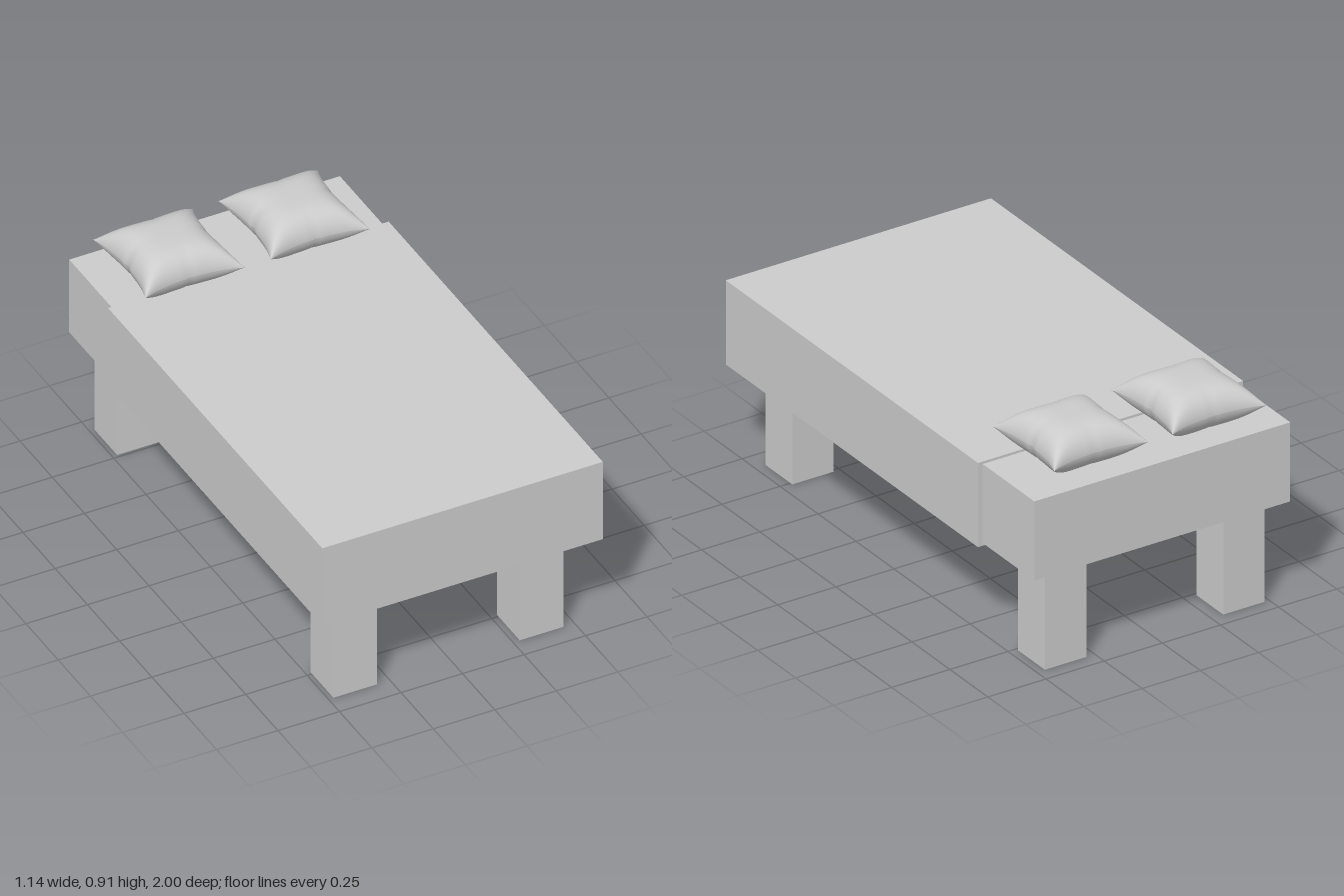
import * as THREE from 'three';
import { mergeGeometries } from 'three/addons/utils/BufferGeometryUtils.js';

const lightGrey = new THREE.MeshStandardMaterial({ color: 0xcccccc });
lightGrey.name = 'light grey';

// Box given by its lower and upper corners
function box(name, [x0, y0, z0], [x1, y1, z1]) {
  const mesh = new THREE.Mesh(new THREE.BoxGeometry(x1 - x0, y1 - y0, z1 - z0), lightGrey);
  mesh.position.set((x0 + x1) / 2, (y0 + y1) / 2, (z0 + z1) / 2);
  mesh.name = name;
  return mesh;
}

// One puffed half of a pillow: side +1 is the top, -1 the bottom
function pillowHalf(side) {
  const g = new THREE.PlaneGeometry(2, 2, 32, 32);
  g.rotateX(-side * Math.PI / 2);
  const p = g.attributes.position;
  const ease = (t) => Math.sin(t * Math.PI / 2);
  for (let i = 0; i < p.count; i++) {
    const u = ease(p.getX(i)), v = ease(p.getZ(i));
    // edges bow inwards between the pointed corners, with a small pinch in the middle
    const pinch = (t, s) => 0.008 * Math.exp(-((t / 0.06) ** 2)) * s ** 4;
    const x = u * (0.171 + 0.032 * Math.abs(v) ** 2.3 - pinch(v, u));
    const z = v * (0.167 + 0.036 * Math.abs(u) ** 2.3 - pinch(u, v) * 0.4);
    const puff = (Math.max(0, 1 - u ** 4) * Math.max(0, 1 - v ** 4)) ** 0.6;
    // shallow folds running in from the middle of each edge
    const fold = 1 - 0.07 * (Math.exp(-((u / 0.07) ** 2)) * v ** 4 + Math.exp(-((v / 0.07) ** 2)) * u ** 4);
    const height = side > 0 ? 0.093 : 0.084;
    p.setXYZ(i, x, side * height * puff * fold, z);
  }
  g.computeVertexNormals();
  return g;
}

export function createModel() {
  const bed = new THREE.Group();
  bed.name = 'bed';

  // Mattress, and the slightly larger cover over most of it
  bed.add(box('mattress', [-0.55, 0.417, -1], [0.55, 0.74, 0.97]));
  bed.add(box('blanket', [-0.57, 0.406, -0.66], [0.57, 0.75, 1]));

  // Legs
  const legs = [
    ['frontRightLeg', -0.48, 0.738], ['frontLeftLeg', 0.277, 0.738],
    ['backRightLeg', -0.48, -0.939], ['backLeftLeg', 0.287, -0.939],
  ];
  for (const [name, x, z] of legs) bed.add(box(name, [x, 0, z], [x + 0.178, 0.43, z + 0.177]));

  // Pillows
  const pillow = mergeGeometries([pillowHalf(1), pillowHalf(-1)]);
  for (const [name, x] of [['rightPillow', -0.266], ['leftPillow', 0.243]]) {
    const mesh = new THREE.Mesh(pillow, lightGrey);
    mesh.name = name;
    mesh.position.set(x, 0.82, -0.768);
    bed.add(mesh);
  }
  return bed;
}
